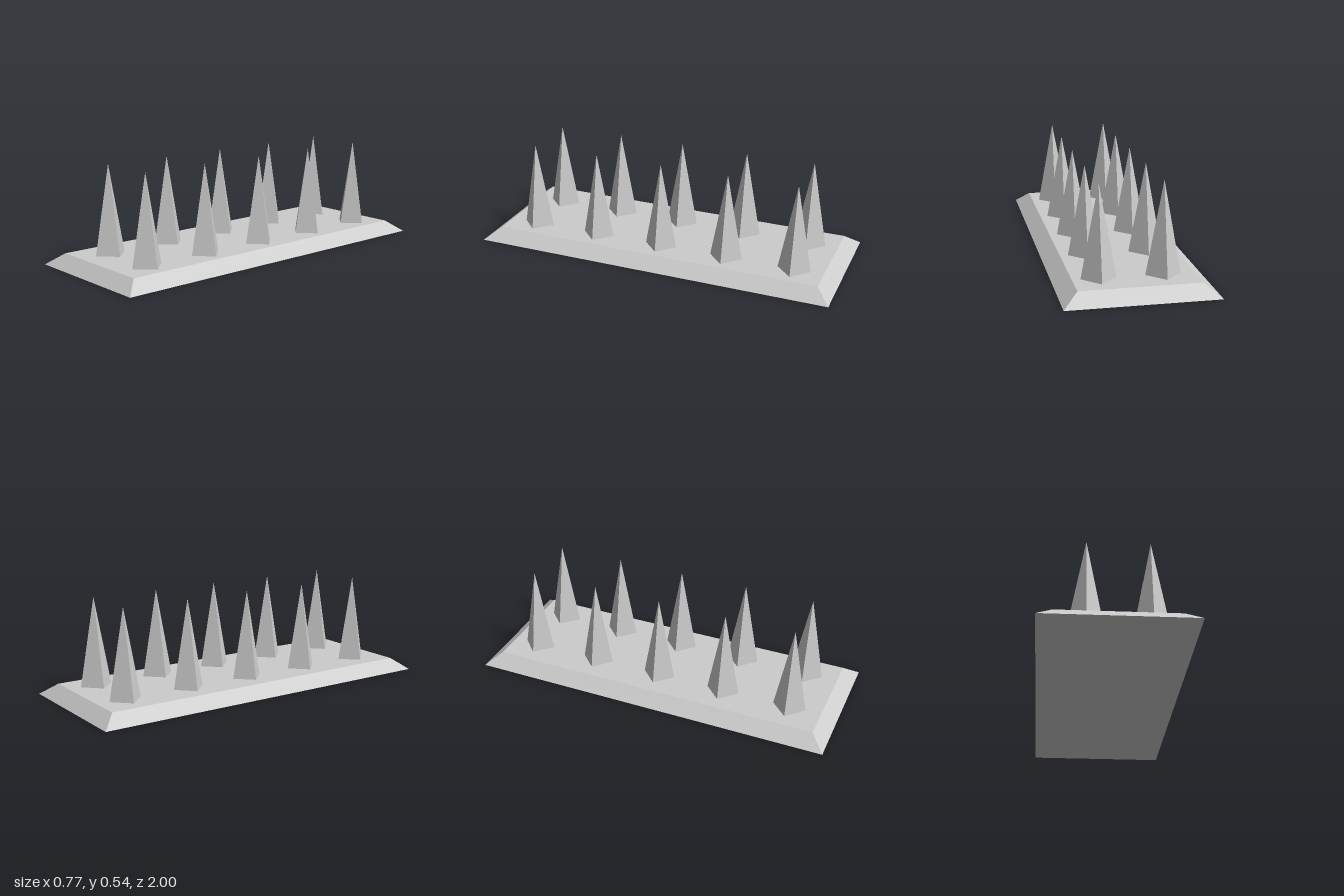
import * as THREE from 'three';

export function createModel() {
  const group = new THREE.Group();
  const material = new THREE.MeshStandardMaterial({ color: 0xcccccc, flatShading: true });
  const baseHeight = 0.062, bevel = 0.078, tip = 0.539;

  // Base plate: a box whose top face is drawn in to make bevelled sides
  const plate = new THREE.BoxGeometry(0.77, baseHeight, 2);
  plate.translate(0, baseHeight / 2, 0);
  const pos = plate.attributes.position;
  for (let i = 0; i < pos.count; i++) {
    if (pos.getY(i) < baseHeight / 2) continue;
    pos.setX(i, pos.getX(i) - Math.sign(pos.getX(i)) * bevel);
    pos.setZ(i, pos.getZ(i) - Math.sign(pos.getZ(i)) * bevel);
  }
  plate.computeVertexNormals();
  const base = new THREE.Mesh(plate, material);
  base.name = 'basePlate';
  group.add(base);

  // Spikes: two rows of five four-sided pyramids, edges facing the axes
  const height = tip - baseHeight;
  const spikeGeometry = new THREE.ConeGeometry(0.0895, height, 4, 1, true);
  spikeGeometry.translate(0, height / 2, 0);
  const spikes = new THREE.Group();
  spikes.name = 'spikes';
  for (const x of [-0.147, 0.175]) {
    for (let i = -2; i <= 2; i++) {
      const spike = new THREE.Mesh(spikeGeometry, material);
      spike.name = 'spike';
      spike.position.set(x, baseHeight, -0.008 + i * 0.3775);
      spikes.add(spike);
    }
  }
  group.add(spikes);
  return group;
}
